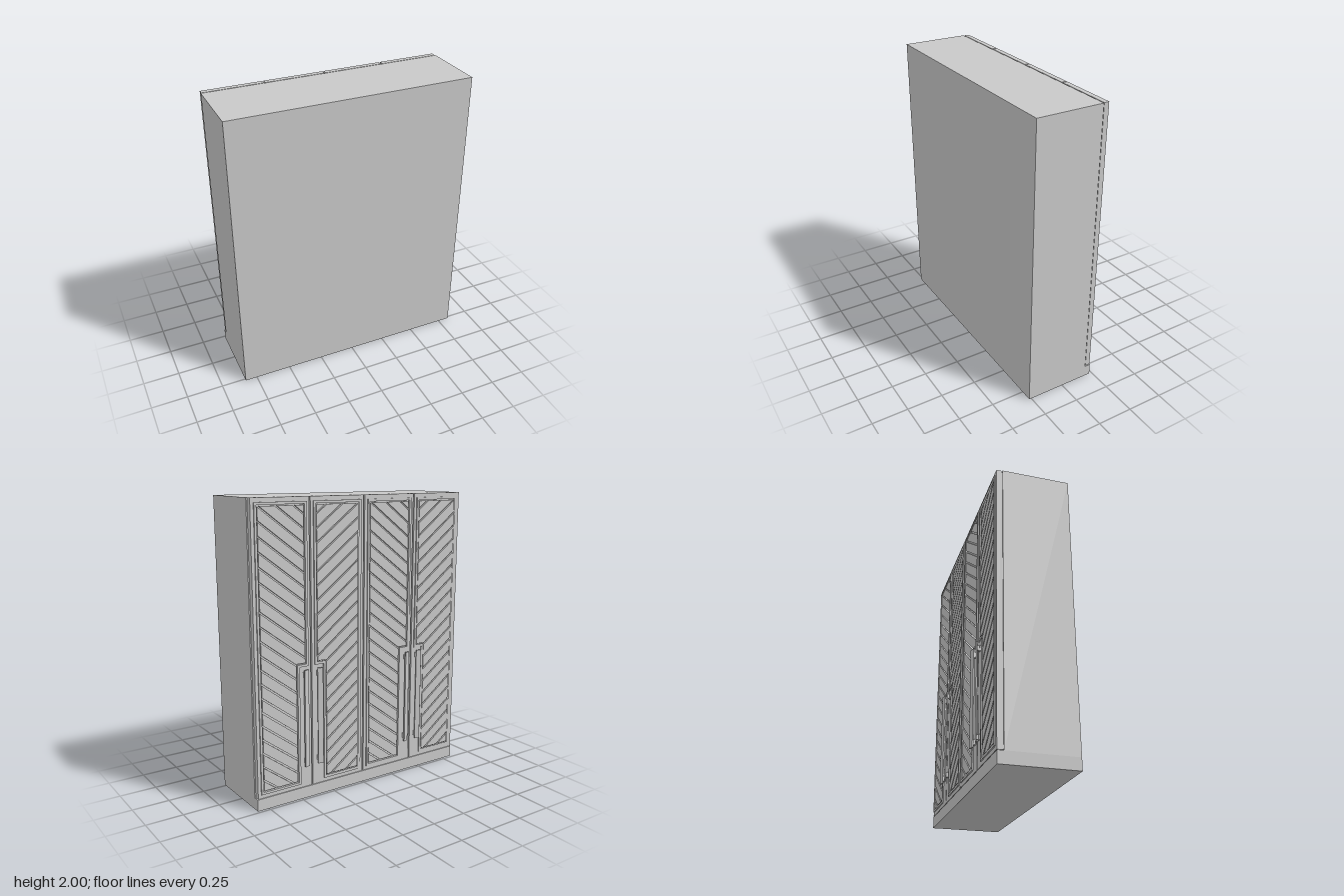
import * as THREE from 'three';

// Outline of a door panel: u runs from the meeting edge to the hinge edge,
// with a notch at the lower meeting corner for the handle. t insets it.
const outline = (t) => [
  [0.025 + t, 0.92 + t], [0.092 + t, 0.92 + t], [0.092 + t, 0.11 + t],
  [0.39 - t, 0.11 + t], [0.39 - t, 1.972 - t], [0.025 + t, 1.972 - t],
];

// Keep the part of a polygon where f(point) >= 0
function clip(points, f) {
  const out = [];
  points.forEach((p, i) => {
    const q = points[(i + 1) % points.length];
    const a = f(p), b = f(q);
    if (a >= 0) out.push(p);
    if ((a >= 0) !== (b >= 0)) {
      const k = a / (a - b);
      out.push([p[0] + (q[0] - p[0]) * k, p[1] + (q[1] - p[1]) * k]);
    }
  });
  return out;
}

export function createModel() {
  const model = new THREE.Group();
  model.name = 'wardrobe';
  const grey = new THREE.MeshStandardMaterial({ color: 0xc8c8c8 });
  grey.name = 'lightGrey';

  const add = (parent, name, geometry) => {
    const mesh = new THREE.Mesh(geometry, grey);
    mesh.name = name;
    parent.add(mesh);
    return mesh;
  };
  // Box given by its limits on each axis
  const box = (parent, name, x0, x1, y0, y1, z0, z1) => {
    const mesh = add(parent, name, new THREE.BoxGeometry(Math.abs(x1 - x0), y1 - y0, z1 - z0));
    mesh.position.set((x0 + x1) / 2, (y0 + y1) / 2, (z0 + z1) / 2);
  };

  // Cabinet body, plinth and the recessed strip behind the doors
  box(model, 'plinth', -0.833, 0.833, 0, 0.08, -0.232, 0.266);
  box(model, 'carcass', -0.833, 0.833, 0.08, 2, -0.191, 0.266);
  box(model, 'doorSeal', -0.825, 0.825, 0.088, 1.99, -0.199, -0.19);

  const slope = Math.tan(THREE.MathUtils.degToRad(37));
  const pitch = 0.092;
  const groove = 0.013;

  // Two pairs of doors; each pair mirrors about its meeting line
  for (const centre of [-0.4165, 0.4165]) {
    for (const side of [-1, 1]) {
      const door = new THREE.Group();
      door.name = 'door';
      model.add(door);
      const X = (u) => centre + side * u;
      const toVectors = (pts) => pts.map(([u, y]) => new THREE.Vector2(X(u), y));
      const plate = (name, points, hole, zOut, zIn) => {
        const shape = new THREE.Shape(toVectors(points));
        if (hole) shape.holes.push(new THREE.Path(toVectors(hole)));
        const g = new THREE.ExtrudeGeometry(shape, { depth: zIn - zOut, bevelEnabled: false });
        add(door, name, g).position.z = zOut;
      };

      // Leaf with a recessed panel
      const leaf = [[0.005, 0.084], [0.412, 0.084], [0.412, 2], [0.005, 2]];
      plate('doorLeaf', leaf, outline(0.016), -0.232, -0.197);
      plate('doorPanel', outline(0.014), null, -0.223, -0.198);

      // Raised moulding around the panel
      plate('moulding', outline(0), outline(0.016), -0.24, -0.231);

      // Diagonal slats, cut to the panel outline
      const inner = outline(0.023);
      for (let y = -0.25; y < 2; y += pitch) {
        const low = clip(inner, ([u, v]) => v - slope * u - y);
        const slat = clip(low, ([u, v]) => y + pitch - groove - v + slope * u);
        if (slat.length > 2) plate('slat', slat, null, -0.236, -0.222);
      }

      // Tilted blade handle on two posts
      const handle = new THREE.Group();
      handle.name = 'handle';
      door.add(handle);
      const blade = add(handle, 'handleBlade', new THREE.BoxGeometry(0.037, 0.665, 0.01));
      blade.position.set(X(0.053), 0.568, -0.256);
      blade.rotation.y = side * 0.27;
      for (const y of [0.272, 0.864]) {
        box(handle, 'handlePost', X(0.044), X(0.056), y - 0.016, y + 0.016, -0.256, -0.231);
        box(handle, 'handleFoot', X(0.038), X(0.062), y - 0.018, y + 0.018, -0.24, -0.231);
      }
    }
  }
  return model;
}
